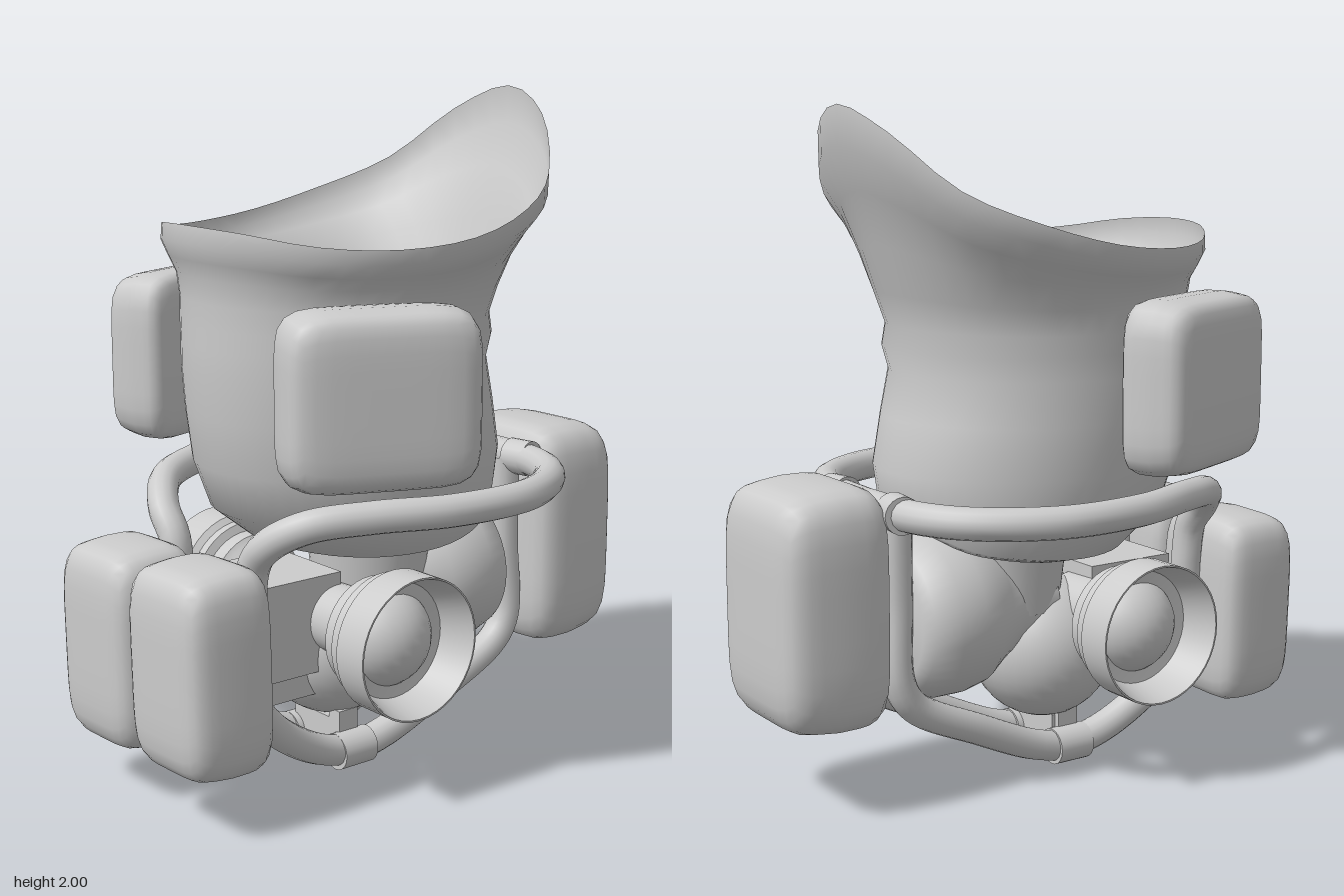
import * as THREE from 'three';
import { mergeVertices, toCreasedNormals } from 'three/addons/utils/BufferGeometryUtils.js';

const grey = new THREE.MeshStandardMaterial({ color: 0xcccccc });
const greyDouble = new THREE.MeshStandardMaterial({ color: 0xcccccc, side: THREE.DoubleSide });

function add(parent, name, geometry, [x, y, z] = [0, 0, 0], material = grey) {
  const mesh = new THREE.Mesh(geometry, material);
  mesh.name = name;
  mesh.position.set(x, y, z);
  parent.add(mesh);
  return mesh;
}

// Soft padded pouch: a box pulled onto a superellipsoid, tapering towards its outer (+z) face
function pouchGeometry(w, h, d, n, taper) {
  let g = new THREE.BoxGeometry(2, 2, 2, 10, 10, 10);
  g.deleteAttribute('uv');
  g.deleteAttribute('normal');
  g = mergeVertices(g);
  const p = g.attributes.position;
  for (let i = 0; i < p.count; i++) {
    const v = [p.getX(i), p.getY(i), p.getZ(i)];
    const s = 0.5 / Math.pow(v.reduce((t, c) => t + Math.abs(c) ** n, 0), 1 / n);
    const k = s * (1 - taper * Math.max(0, v[2]));
    p.setXYZ(i, v[0] * k * w, v[1] * k * h, v[2] * s * d);
  }
  g.computeVertexNormals();
  return g;
}

// Open vessel lofted from egg-shaped rings, rising to a tall lip at the back
function vesselGeometry() {
  const half = [1.65, 1.64, 1.61, 1.6, 1.62, 1.68, 1.77, 1.925, 2.0];
  const rimHeights = [...half, ...half.slice(1, -1).reverse()];
  const rimCurve = new THREE.CatmullRomCurve3(
    rimHeights.map((y, i) => new THREE.Vector3(i, y, 0)), true, 'catmullrom');
  // height, share of the rim's rise, front z, back z, half width
  const rings = [
    [0.785, 0, -0.1, -0.1, 0.001],
    [0.775, 0.04, 0.16, -0.36, 0.25],
    [0.7, 0.27, 0.26, -0.375, 0.29],
    [0.71, 0.26, 0.36, -0.385, 0.335],
    [0.81, 0.13, 0.49, -0.405, 0.385],
    [0.95, 0, 0.545, -0.42, 0.405],
    [1.1, 0, 0.565, -0.39, 0.41],
    [1.23, 0, 0.575, -0.36, 0.41],
    [1.3, 0, 0.575, -0.382, 0.412],
    [1.36, 0.02, 0.575, -0.368, 0.415],
    [1.43, 0.1, 0.575, -0.405, 0.42],
    [1.5, 0.3, 0.58, -0.45, 0.445],
    [1.55, 0.6, 0.6, -0.505, 0.478],
    [1.6, 0.82, 0.62, -0.57, 0.508],
    [1.65, 1, 0.615, -0.57, 0.512],
  ];
  const N = 48, pos = [], index = [];
  rings.forEach(([y, f, zf, zb, xh], r) => {
    for (let i = 0; i < N; i++) {
      const a = (i / N) * Math.PI * 2;
      const rise = rimCurve.getPoint(i / N).y - 1.65;
      pos.push(0.02 + Math.sin(a) * xh, y + rise * f,
        (zf + zb) / 2 + (Math.cos(a) * (zf - zb)) / 2);
      if (r) {
        const j = (i + 1) % N, lo = (r - 1) * N, hi = r * N;
        index.push(lo + i, lo + j, hi + j, lo + i, hi + j, hi + i);
      }
    }
  });
  const g = new THREE.BufferGeometry();
  g.setAttribute('position', new THREE.Float32BufferAttribute(pos, 3));
  g.setIndex(index);
  g.computeVertexNormals();
  return g;
}

const lathe = (pts, crease = 0.6) =>
  toCreasedNormals(new THREE.LatheGeometry(pts.map(p => new THREE.Vector2(...p)), 40), crease);

export function createModel() {
  const model = new THREE.Group();
  model.name = 'vesselWithPouches';
  add(model, 'vessel', vesselGeometry(), [0, 0, 0], greyDouble);

  // Pouches
  const back = add(model, 'backPouch', pouchGeometry(0.475, 0.705, 0.345, 5.5, 0.05),
    [0.035, 0.6, -0.688]);
  back.rotation.y = Math.PI;
  for (const s of [-1, 1]) {
    const front = add(model, 'frontPouch', pouchGeometry(0.365, 0.59, 0.285, 5.5, 0.04),
      [0.018 + s * 0.18, 0.45 + s * 0.008, 0.72]);
    front.rotation.z = 0.03;
    const side = add(model, 'sidePouch', pouchGeometry(0.56, 0.5, 0.21, 6.5, 0.06),
      [s * 0.475, 1.208 - s * 0.008, 0.31]);
    side.rotation.y = s * (Math.PI / 2 - 0.39);
  }

  // Engine under the vessel
  add(model, 'lowerBall', new THREE.SphereGeometry(0.225, 32, 20), [0, 0.36, 0.11]);
  add(model, 'neck', new THREE.CylinderGeometry(0.2, 0.17, 0.26, 32), [0.02, 0.63, -0.02]);
  const rear = lathe([[0, -0.1], [0.14, -0.08], [0.15, 0.05], [0.19, 0.12], [0.23, 0.18],
    [0.245, 0.25], [0.245, 0.33], [0.22, 0.41], [0.18, 0.43], [0, 0.43]], 0.9);
  rear.rotateX(-Math.PI / 2);
  add(model, 'rearTank', rear, [0, 0.515, 0]);
  add(model, 'frontBlock', new THREE.BoxGeometry(0.3, 0.29, 0.3), [0, 0.475, 0.34]);
  add(model, 'frontShelf', new THREE.BoxGeometry(0.24, 0.07, 0.26), [0, 0.285, 0.36]);

  // Round side lamps: stepped housing, open hood and domed centre
  for (const s of [-1, 1]) {
    const lamp = new THREE.Group();
    lamp.name = 'sideLamp';
    lamp.position.set(0.02, 0.48, 0.2);
    lamp.rotation.y = s > 0 ? 0 : Math.PI;
    model.add(lamp);
    const housing = lathe([[0.1, 0.05], [0.105, 0.22], [0.15, 0.27], [0.165, 0.28], [0.165, 0.33],
      [0.19, 0.34], [0.19, 0.37], [0.208, 0.385], [0.208, 0.5], [0.203, 0.5],
      [0.17, 0.39], [0, 0.38]]);
    housing.rotateZ(-Math.PI / 2);
    add(lamp, 'lampHousing', housing, [0, 0, 0], greyDouble);
    add(lamp, 'lampDome', new THREE.SphereGeometry(0.15, 28, 18), [0.32, 0, 0]);
  }

  // Tube frame: each half runs down the back, under, up the front and round the side
  const path = [
    [0.12, 0.87, -0.47], [0.12, 0.6, -0.47], [0.13, 0.36, -0.47], [0.13, 0.28, -0.42],
    [0.13, 0.17, -0.2], [0.12, 0.075, 0.02], [0.115, 0.055, 0.14], [0.125, 0.09, 0.28],
    [0.15, 0.21, 0.46], [0.17, 0.32, 0.54], [0.18, 0.6, 0.55], [0.2, 0.72, 0.55],
    [0.26, 0.79, 0.545], [0.35, 0.85, 0.48], [0.44, 0.87, 0.32], [0.52, 0.87, 0.1],
    [0.525, 0.87, -0.17], [0.41, 0.87, -0.38], [0.26, 0.87, -0.475], [0, 0.87, -0.5],
  ];
  for (const s of [-1, 1]) {
    const curve = new THREE.CatmullRomCurve3(
      path.map(([x, y, z]) => new THREE.Vector3(0.018 + s * x, y, z)), false, 'centripetal');
    add(model, 'frameTube', new THREE.TubeGeometry(curve, 160, 0.047, 14), [0, 0, 0], greyDouble);
    const lower = add(model, 'lowerClamp', new THREE.CylinderGeometry(0.056, 0.056, 0.12, 20),
      [0.018 + s * 0.116, 0.056, 0.14]);
    lower.rotation.x = Math.PI / 2;
    const upper = add(model, 'rearClamp', new THREE.CylinderGeometry(0.055, 0.055, 0.08, 20),
      [0.018 + s * 0.17, 0.87, -0.492]);
    upper.rotation.set(0, s * 0.15, Math.PI / 2);
    add(model, 'clampBlock', new THREE.BoxGeometry(0.05, 0.09, 0.07),
      [0.018 + s * 0.085, 0.13, 0.145]);
  }
  add(model, 'crossPlate', new THREE.BoxGeometry(0.18, 0.09, 0.08), [0.018, 0.1, 0.14]);

  return model;
}
